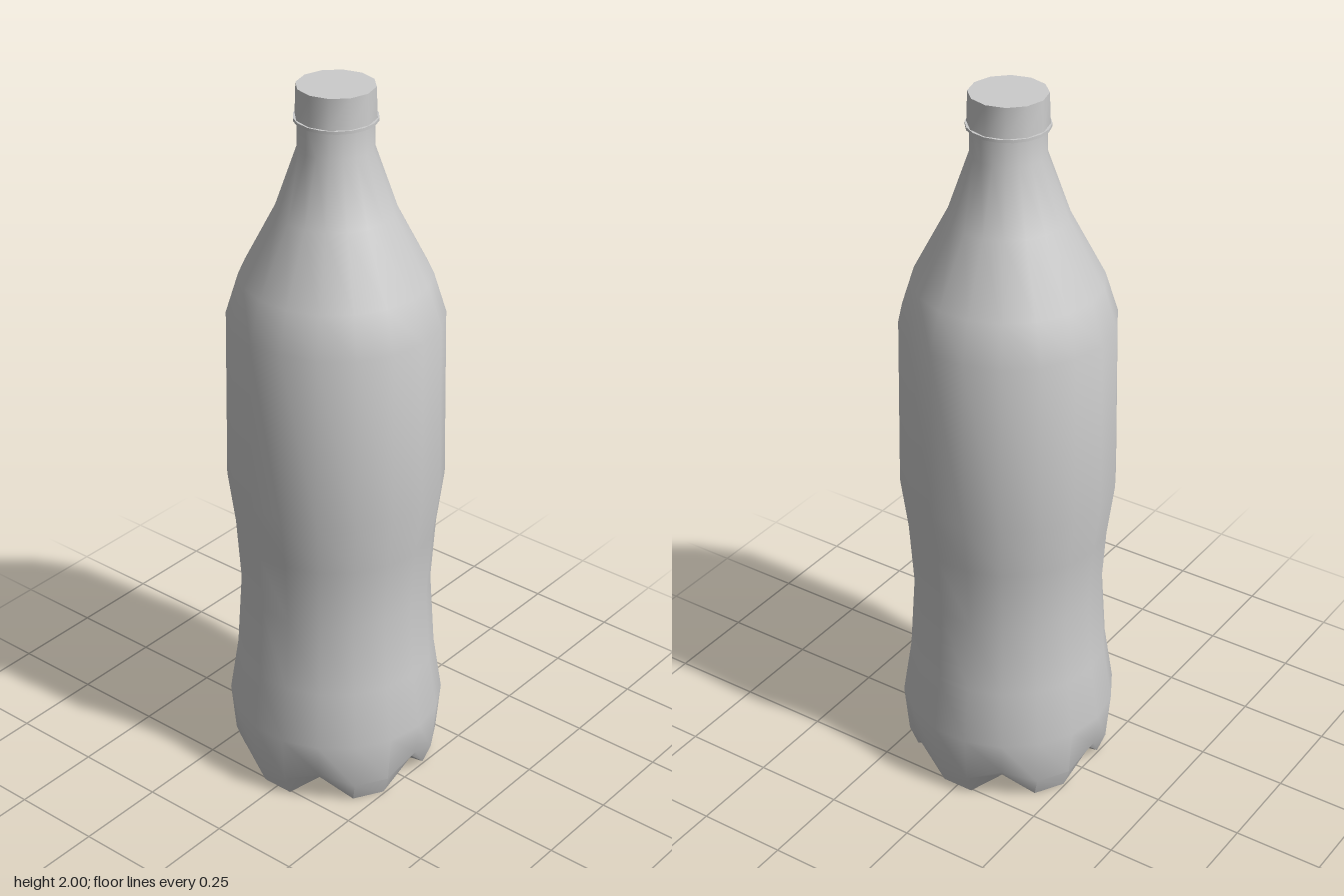
import * as THREE from 'three';
import { toCreasedNormals } from 'three/addons/utils/BufferGeometryUtils.js';

const SIDES = 18;
const NOTCH_EVERY = 3; // six feet, a notch on every third edge

const material = new THREE.MeshStandardMaterial({ color: 0xcccccc });

function addMesh(group, name, geometry, y = 0) {
  const mesh = new THREE.Mesh(toCreasedNormals(geometry, 0.75), material);
  mesh.name = name;
  mesh.position.y = y;
  group.add(mesh);
}

// Lathed shell whose two lowest rings are pulled up into notches between the feet
function bodyGeometry() {
  const profile = [
    [0, 0.03], [0.26, 0], [0.283, 0.06], [0.296, 0.2], [0.272, 0.36],
    [0.259, 0.57], [0.271, 0.75], [0.291, 0.9], [0.284, 1.38], [0.25, 1.49],
    [0.157, 1.67], [0.098, 1.84], [0.097, 1.92],
  ].map(([r, y]) => new THREE.Vector2(r, y));
  const geometry = new THREE.LatheGeometry(profile, SIDES, Math.PI / 2);
  const pos = geometry.attributes.position;
  const notch = { 1: [0.272, 0.085], 2: [0.286, 0.105] }; // ring: [radius, height]
  for (let side = 0; side <= SIDES; side += NOTCH_EVERY) {
    const angle = Math.PI / 2 + (side / SIDES) * Math.PI * 2;
    for (const ring of [1, 2]) {
      const [r, y] = notch[ring];
      pos.setXYZ(side * profile.length + ring, r * Math.sin(angle), y, r * Math.cos(angle));
    }
  }
  return geometry;
}

export function createModel() {
  const group = new THREE.Group();
  group.name = 'bottle';

  addMesh(group, 'body', bodyGeometry());
  // Thin collar under the cap
  addMesh(group, 'neckRing', new THREE.CylinderGeometry(0.108, 0.108, 0.008, SIDES), 1.915);
  // Screw cap, slightly tapered
  addMesh(group, 'cap', new THREE.CylinderGeometry(0.101, 0.104, 0.083, 12), 1.9585);

  return group;
}
